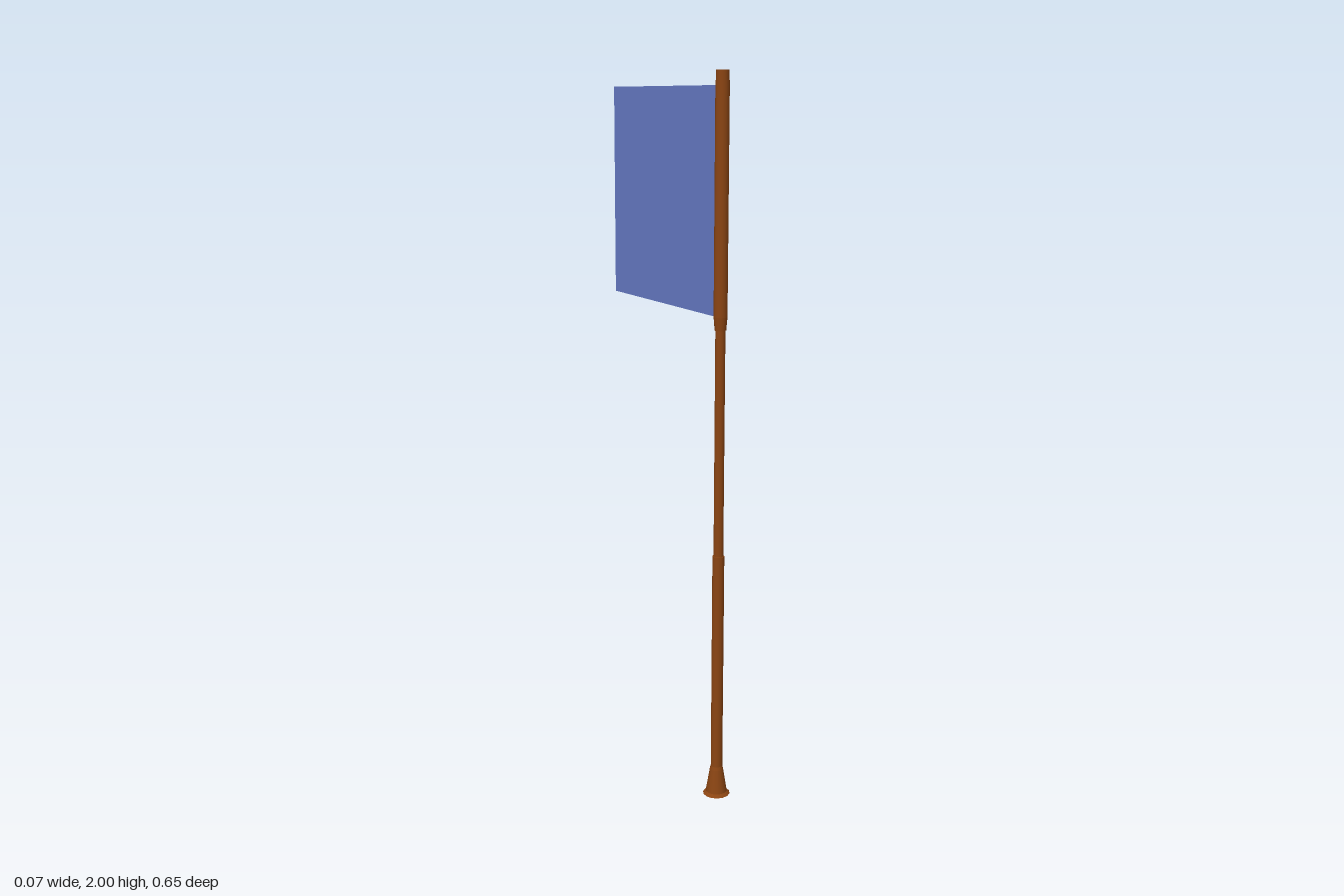
import * as THREE from 'three';

const POLE_Z = 0.287;

export function createModel() {
  const model = new THREE.Group();
  const wood = new THREE.MeshStandardMaterial({ color: 0x8b4513, side: THREE.DoubleSide });
  const cloth = new THREE.MeshStandardMaterial({ color: 0x667bc6, side: THREE.DoubleSide });

  // One tapered pole section between two heights
  const section = (parent, name, y0, y1, r0, r1) => {
    const mesh = new THREE.Mesh(new THREE.CylinderGeometry(r1, r0, y1 - y0, 14), wood);
    mesh.name = name;
    mesh.position.y = (y0 + y1) / 2;
    parent.add(mesh);
  };

  // Pole: flared foot, shaft, slim middle and thicker flag sleeve
  const pole = new THREE.Group();
  pole.name = 'pole';
  pole.position.z = POLE_Z;
  [
    ['footRim', 0, 0.008, 0.038, 0.03],
    ['footFlare', 0.008, 0.075, 0.03, 0.019],
    ['footCollar', 0.075, 0.085, 0.019, 0.0165],
    ['lowerShaft', 0.085, 0.71, 0.0165, 0.0165],
    ['middleShaft', 0.71, 1.34, 0.0135, 0.0135],
    ['sleeveTaper', 1.335, 1.37, 0.0155, 0.0185],
    ['flagSleeve', 1.37, 1.975, 0.0185, 0.0185],
    ['poleTip', 1.975, 2, 0.017, 0.017],
  ].forEach((s) => section(pole, ...s));
  model.add(pole);

  // Flat square flag trailing backwards from the sleeve
  const zFront = POLE_Z - 0.015, zBack = -0.325;
  const flag = new THREE.Mesh(new THREE.PlaneGeometry(zFront - zBack, 0.595), cloth);
  flag.name = 'flag';
  flag.rotation.y = Math.PI / 2;
  flag.position.set(0, 1.3675 + 0.2975, (zFront + zBack) / 2);
  model.add(flag);

  return model;
}
